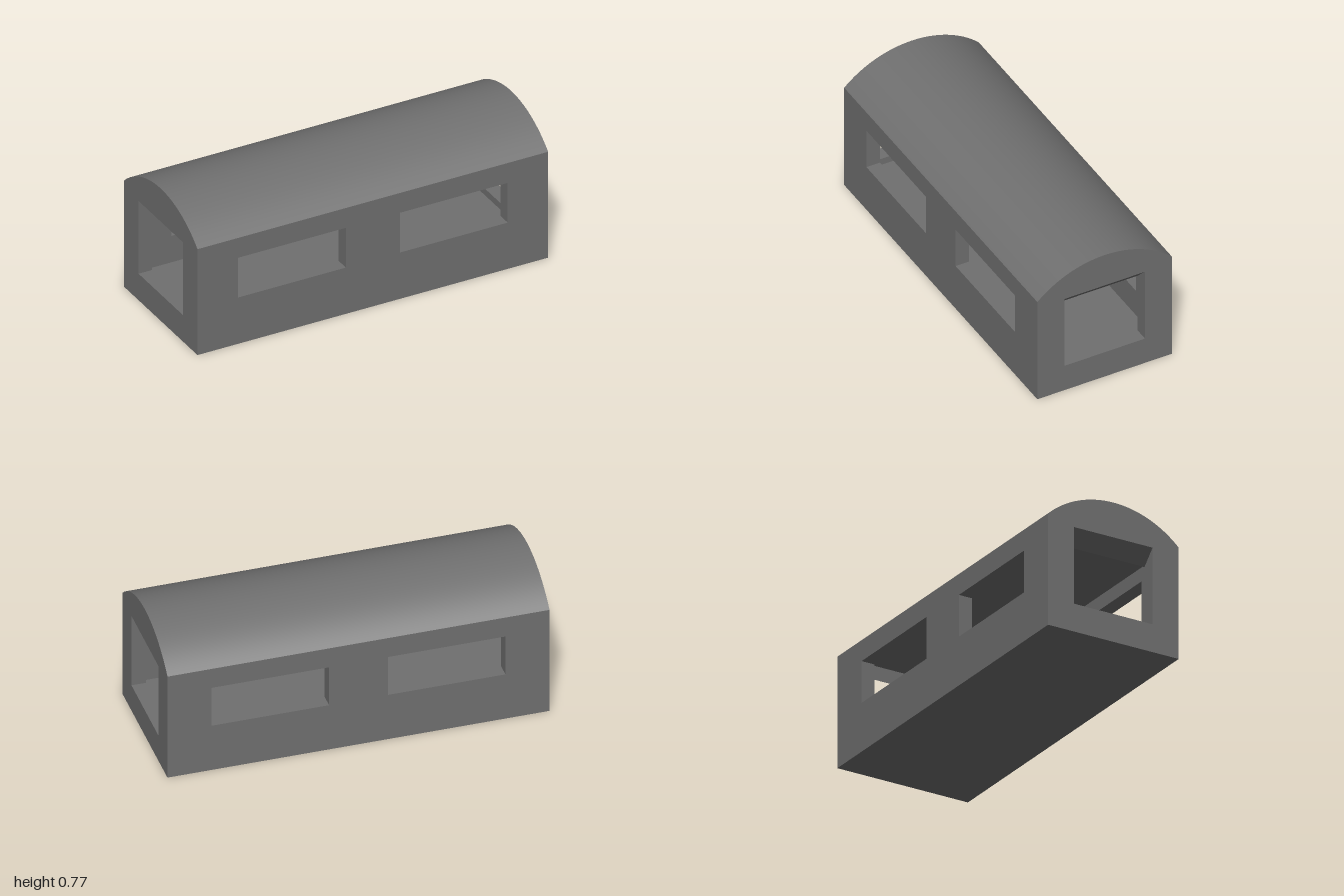
import * as THREE from 'three';
import { toCreasedNormals } from 'three/addons/utils/BufferGeometryUtils.js';

const U = 2 / 26;            // module: one wall thickness
const L = 26 * U, W = 10 * U, EAVES = 8 * U, TOP = 10 * U;
const FLOOR = 1.5 * U, SILL = 2 * U, CEILING = 7.5 * U;

const material = new THREE.MeshStandardMaterial({ color: 0x707070 });

function rect(Type, x0, y0, x1, y1) {
  const p = new Type();
  p.moveTo(x0, y0);
  p.lineTo(x1, y0);
  p.lineTo(x1, y1);
  p.lineTo(x0, y1);
  p.closePath();
  return p;
}

function extrude(shape, depth) {
  return new THREE.ExtrudeGeometry(shape, { depth, bevelEnabled: false, curveSegments: 16 });
}

// Long wall with two windows
function sideWallGeometry() {
  const shape = rect(THREE.Shape, -L / 2, 0, L / 2, EAVES);
  for (const x of [-10 * U, 2 * U]) {
    shape.holes.push(rect(THREE.Path, x, 3.5 * U, x + 8 * U, 6.5 * U));
  }
  return extrude(shape, U).translate(0, 0, W / 2 - U);
}

// End wall with a doorway whose lintel slopes down towards the inside
function endWallGeometry() {
  const half = W / 2 - U;
  const shape = rect(THREE.Shape, -half, 0, half, EAVES);
  shape.holes.push(rect(THREE.Path, -3 * U, SILL, 3 * U, CEILING));
  const geometry = extrude(shape, U);
  const p = geometry.attributes.position;
  for (let i = 0; i < p.count; i++) {
    if (p.getZ(i) < U / 2 && Math.abs(p.getY(i) - CEILING) < 1e-4) p.setY(i, CEILING - U);
  }
  geometry.computeVertexNormals();
  return geometry.rotateY(Math.PI / 2).translate(L / 2 - U, 0, 0);
}

// Solid arched roof
function roofGeometry() {
  const half = W / 2, rise = TOP - EAVES;
  const radius = (half * half + rise * rise) / (2 * rise);
  const cy = TOP - radius;
  const a = Math.atan2(EAVES - cy, half);
  const shape = new THREE.Shape();
  shape.moveTo(-half, EAVES);
  shape.lineTo(half, EAVES);
  shape.absarc(0, cy, radius, a, Math.PI - a, false);
  const geometry = extrude(shape, L).rotateY(Math.PI / 2).translate(-L / 2, 0, 0);
  return toCreasedNormals(geometry, 0.5);
}

// Slab filling the space between the walls
function slabGeometry(y0, y1) {
  return new THREE.BoxGeometry(L - 2 * U, y1 - y0, W - 2 * U).translate(0, (y0 + y1) / 2, 0);
}

export function createModel() {
  const model = new THREE.Group();
  model.name = 'cabin';

  function add(name, geometry, turn = 0) {
    const mesh = new THREE.Mesh(geometry, material);
    mesh.name = name;
    mesh.rotation.y = turn;
    model.add(mesh);
  }

  const side = sideWallGeometry();
  add('frontWall', side);
  add('backWall', side, Math.PI);

  const end = endWallGeometry();
  add('leftEndWall', end);
  add('rightEndWall', end, Math.PI);

  add('floor', slabGeometry(0, FLOOR));
  add('ceiling', slabGeometry(CEILING, EAVES));
  add('roof', roofGeometry());
  return model;
}
